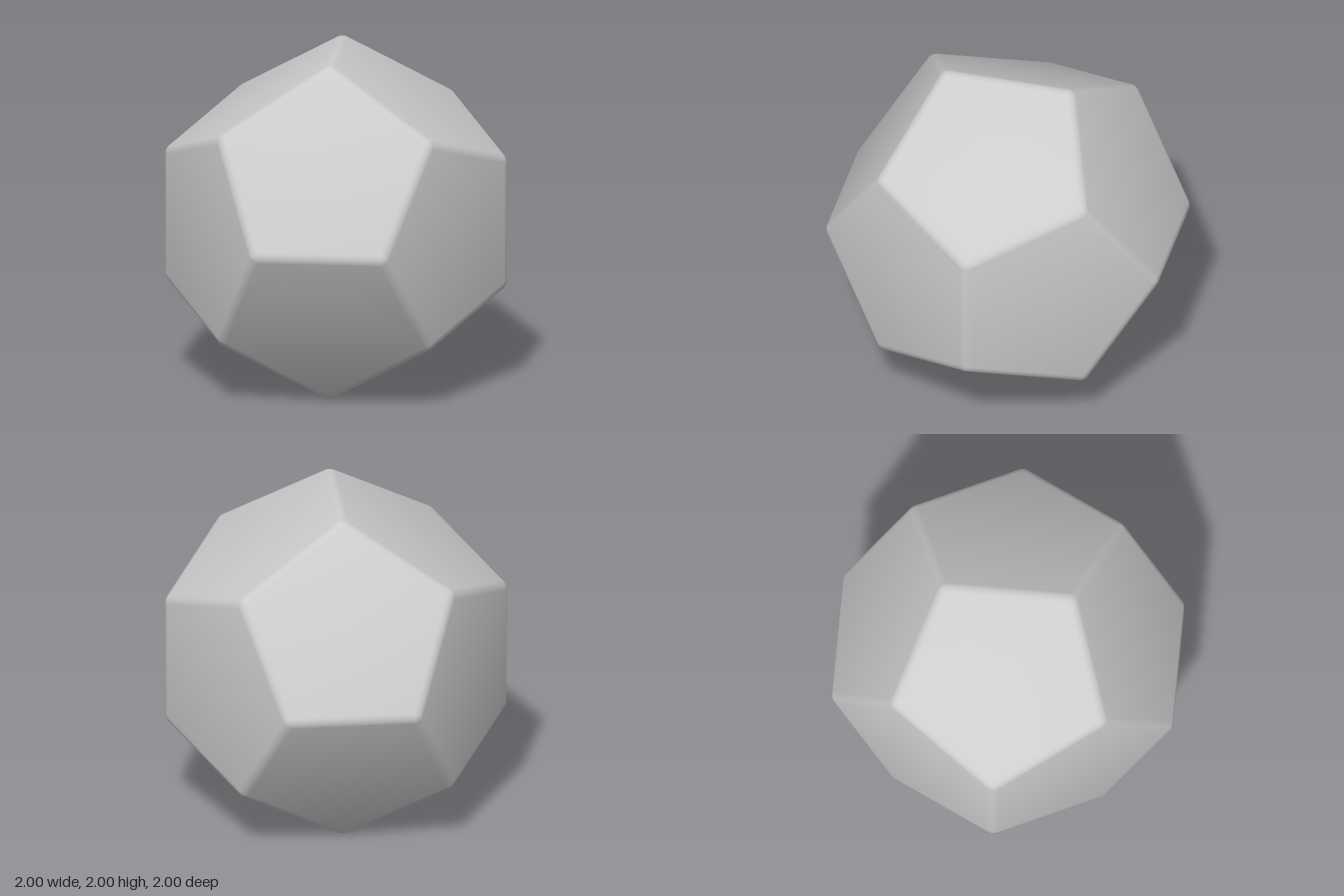
import * as THREE from 'three';

const RADIUS = 0.06; // rounding of edges and corners
const STEPS = 4; // segments across each rounding
const SOFT = 0.3; // how far shading leans outwards across the faces

// The three cyclic coordinate orders of (0, ±a, ±b)
function cyclicPoints(a, b) {
  const list = [];
  for (const s of [-1, 1]) for (const t of [-1, 1]) {
    const p = [0, s * a, t * b];
    for (let k = 0; k < 3; k++) list.push(new THREE.Vector3(p[k], p[(k + 1) % 3], p[(k + 2) % 3]));
  }
  return list;
}

function roundedDodecahedron() {
  const phi = (1 + Math.sqrt(5)) / 2;
  const core = 1 - RADIUS;
  const normals = cyclicPoints(1, phi).map((n) => n.normalize());
  const corners = cyclicPoints(1, 1 / (phi * phi));
  for (const x of [-1, 1]) for (const y of [-1, 1]) for (const z of [-1, 1]) {
    corners.push(new THREE.Vector3(x, y, z).divideScalar(phi));
  }
  corners.forEach((c) => c.multiplyScalar(core));
  const reach = core * phi / Math.sqrt(1 + phi * phi); // face distance of the core
  const touches = (c, n) => Math.abs(c.dot(n) - reach) < 0.001;

  const position = [], normal = [];
  // A surface point: core corner pushed out along a direction
  const point = (c, dir) => {
    const n = dir.clone().normalize();
    const p = c.clone().addScaledVector(n, RADIUS);
    return { p, n: n.addScaledVector(p.clone().normalize(), SOFT).normalize() };
  };
  // The solid is convex, so each triangle is turned away from the centre
  const tri = (a, b, c) => {
    const side = b.p.clone().sub(a.p).cross(c.p.clone().sub(a.p)).dot(a.p);
    for (const v of side > 0 ? [a, b, c] : [a, c, b]) {
      position.push(...v.p.toArray());
      normal.push(...v.n.toArray());
    }
  };

  // Flat pentagons and rounded edges
  const edgeLength = 2 * core / (phi * phi);
  corners.forEach((a, i) => corners.slice(i + 1).forEach((b) => {
    if (Math.abs(a.distanceTo(b) - edgeLength) > 0.001) return;
    const [m, n] = normals.filter((f) => touches(a, f) && touches(b, f));
    for (const f of [m, n]) {
      tri(point(f.clone().multiplyScalar(reach), f), point(a, f), point(b, f));
    }
    for (let k = 0; k < STEPS; k++) {
      const d = m.clone().lerp(n, k / STEPS), e = m.clone().lerp(n, (k + 1) / STEPS);
      tri(point(a, d), point(b, d), point(b, e));
      tri(point(a, d), point(b, e), point(a, e));
    }
  }));

  // Rounded corners, each a spherical triangle between three faces
  for (const c of corners) {
    const [f, g, h] = normals.filter((n) => touches(c, n));
    const at = (i, j) => point(c, new THREE.Vector3()
      .addScaledVector(f, (STEPS - i - j) / STEPS)
      .addScaledVector(g, i / STEPS)
      .addScaledVector(h, j / STEPS));
    for (let i = 0; i < STEPS; i++) for (let j = 0; j < STEPS - i; j++) {
      tri(at(i, j), at(i + 1, j), at(i, j + 1));
      if (i + j < STEPS - 1) tri(at(i + 1, j), at(i + 1, j + 1), at(i, j + 1));
    }
  }

  const geometry = new THREE.BufferGeometry();
  geometry.setAttribute('position', new THREE.Float32BufferAttribute(position, 3));
  geometry.setAttribute('normal', new THREE.Float32BufferAttribute(normal, 3));
  return geometry;
}

export function createModel() {
  const group = new THREE.Group();
  group.name = 'dodecahedron';
  const body = new THREE.Mesh(roundedDodecahedron(), new THREE.MeshStandardMaterial({ color: 0xcccccc }));
  body.name = 'roundedBody';
  body.position.y = 1;
  group.add(body);
  return group;
}
